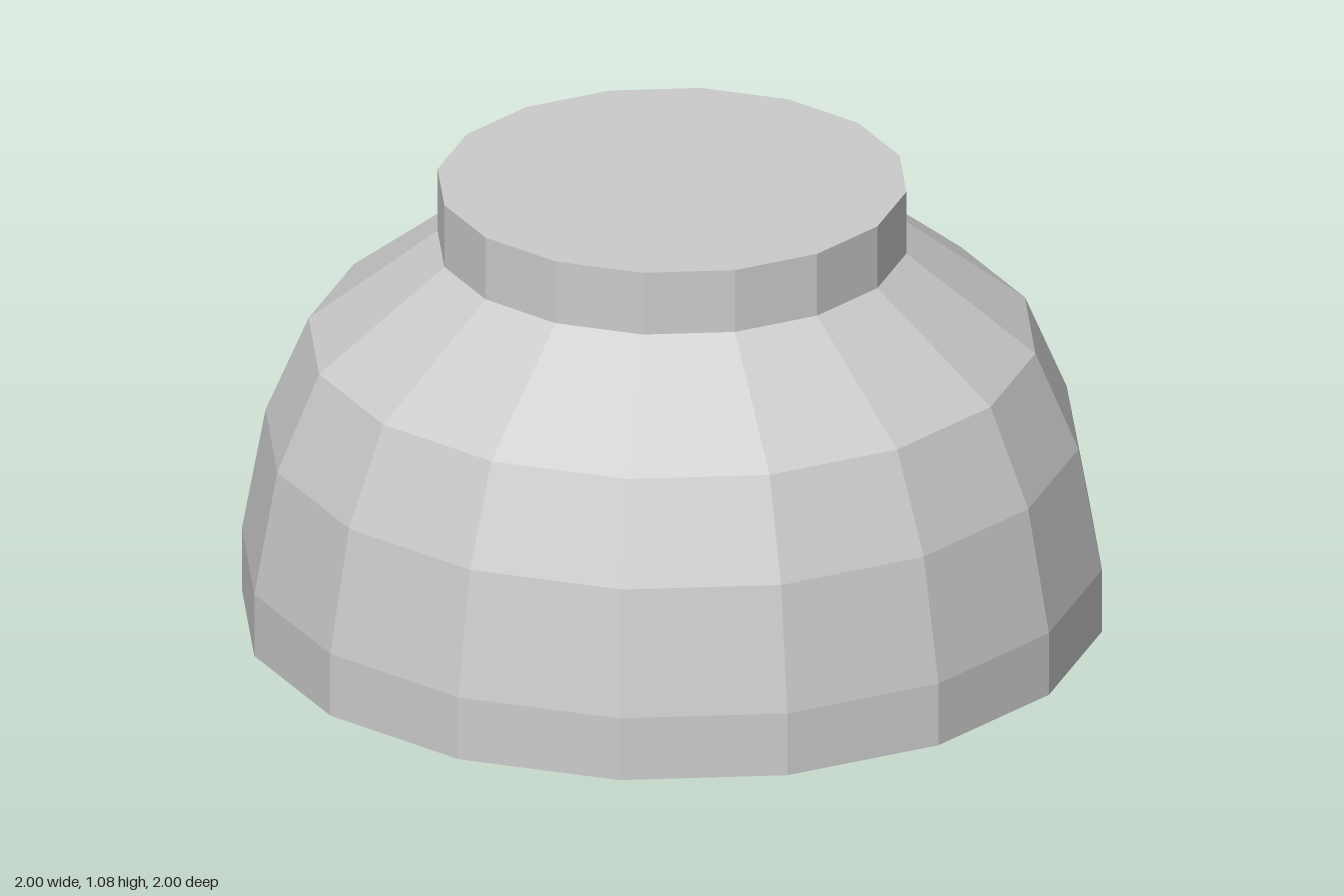
import * as THREE from 'three';

const SIDES = 16;

// Faceted solid of revolution from [radius, height] pairs
function turned(name, profile) {
  const points = profile.map(([r, y]) => new THREE.Vector2(r, y));
  const material = new THREE.MeshStandardMaterial({ color: 0xcccccc, flatShading: true });
  const mesh = new THREE.Mesh(new THREE.LatheGeometry(points, SIDES), material);
  mesh.name = name;
  return mesh;
}

export function createModel() {
  const group = new THREE.Group();
  group.name = 'upturnedBowl';

  // Hollow bowl: inner floor, inner wall down to the rim, outer wall back up
  group.add(turned('bowl', [
    [0, 0.88], [0.53, 0.88], [0.8, 0.66], [0.9, 0.44], [0.955, 0.15], [0.955, 0],
    [1, 0], [1, 0.155], [0.945, 0.455], [0.845, 0.69], [0.545, 0.925],
  ]));

  // Solid foot on top of the bowl
  group.add(turned('foot', [[0.545, 0.925], [0.545, 1.08], [0, 1.08]]));

  return group;
}
